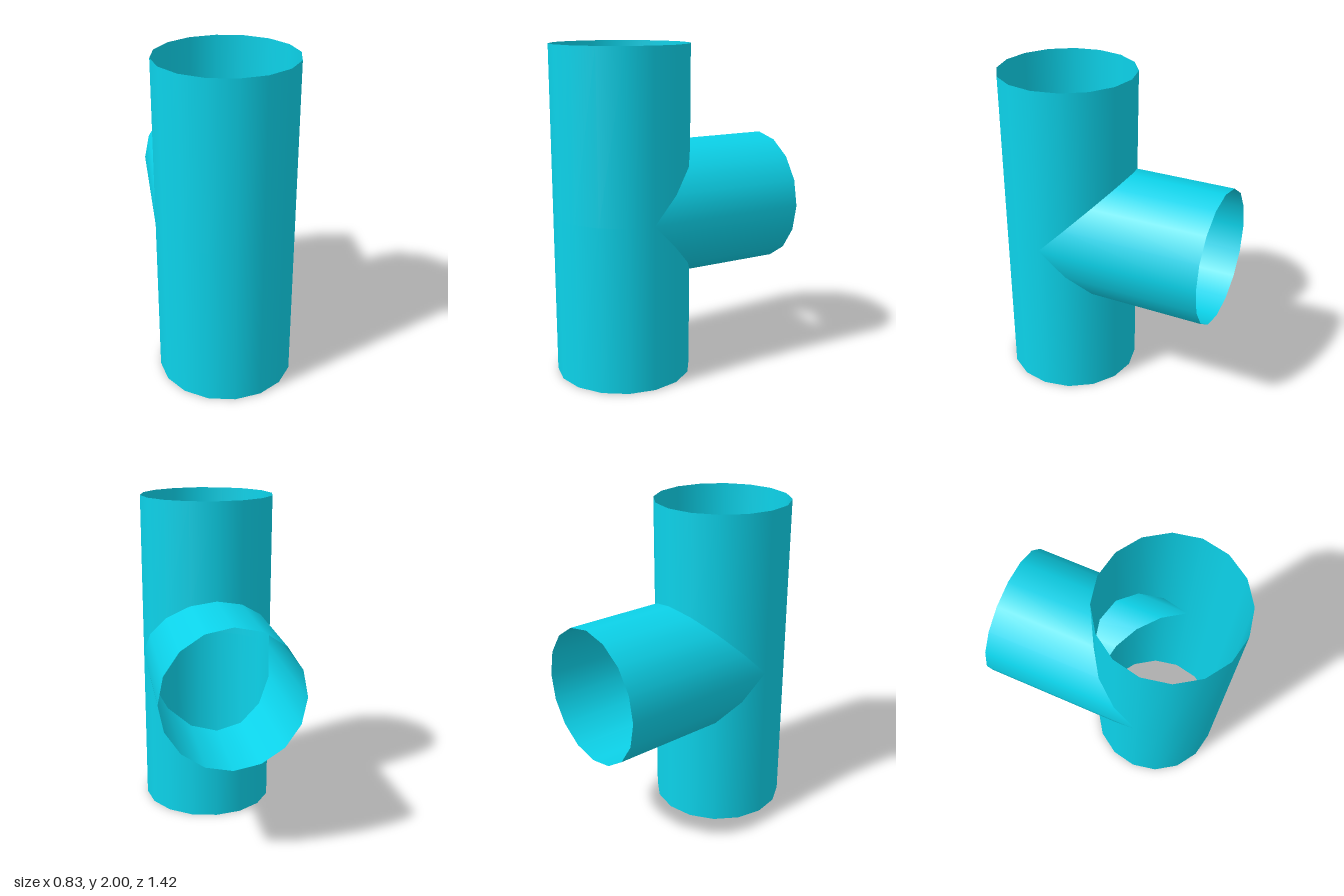
import * as THREE from 'three';

const R = 0.413, SIDES = 16;
const MAIN_Z = 0.295;   // axis of the upright pipe
const MID_Y = 1;        // axis of the branch
const BACK_Z = -0.708;  // open end of the branch

const material = new THREE.MeshStandardMaterial({ color: 0x0cd3ea, side: THREE.DoubleSide });

// Open tube along y; endY(x, z, isTop) sets the height of each rim vertex.
function cutTube(endY) {
  const geo = new THREE.CylinderGeometry(R, R, 2, SIDES, 1, true);
  const p = geo.attributes.position;
  for (let i = 0; i < p.count; i++) {
    p.setY(i, endY(p.getX(i), p.getZ(i), p.getY(i) > 0));
  }
  return geo;
}

function addPart(group, name, geo) {
  const mesh = new THREE.Mesh(geo, material);
  mesh.name = name;
  group.add(mesh);
  return mesh;
}

export function createModel() {
  const group = new THREE.Group();
  group.name = 'teePipe';

  // Upright pipe in two halves, notched at the back where the branch opens into it
  const notch = (z) => Math.max(0, -z);
  const lower = cutTube((x, z, top) => (top ? MID_Y - notch(z) : 0));
  const upper = cutTube((x, z, top) => (top ? 2 : MID_Y + notch(z)));
  addPart(group, 'lowerPipe', lower).position.z = MAIN_Z;
  addPart(group, 'upperPipe', upper).position.z = MAIN_Z;

  // Branch of equal bore, mitred to meet the notch; its length runs towards -z
  const branch = cutTube((x, z, top) => (top ? -BACK_Z : Math.abs(z) - MAIN_Z));
  branch.rotateX(-Math.PI / 2);
  addPart(group, 'branchPipe', branch).position.y = MID_Y;

  return group;
}
